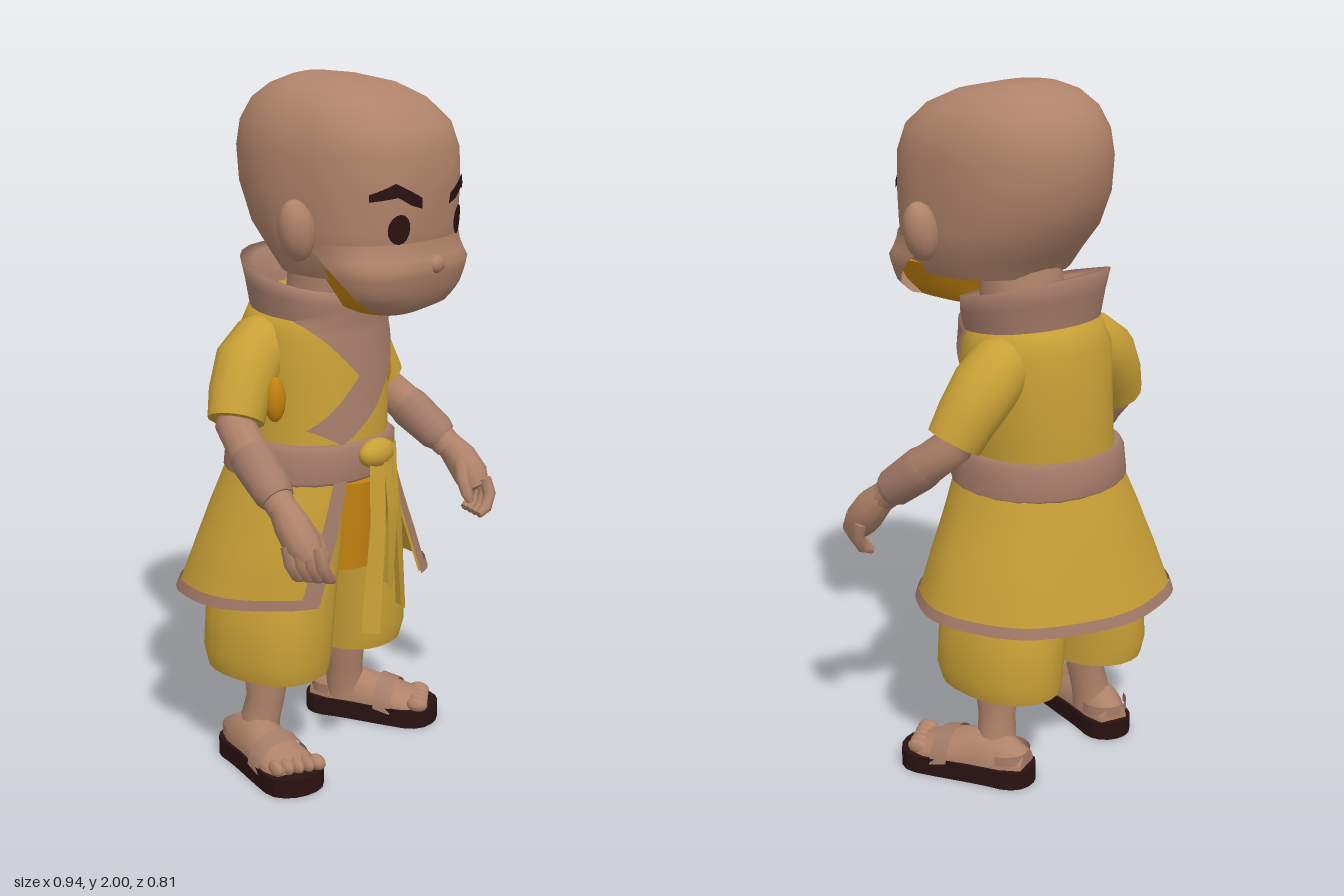
import * as THREE from 'three';

const V = (x, y, z) => new THREE.Vector3(x, y, z);
const lerp = THREE.MathUtils.lerp;
const mat = (name, color) => new THREE.MeshStandardMaterial({ name, color, side: THREE.DoubleSide });

// Surface through fn(u, v); closed joins u = 1 to u = 0, caps fan over both ends.
function grid(nu, nv, fn, closed = false, caps = false) {
  const pos = [], idx = [], cols = closed ? nu : nu + 1;
  for (let j = 0; j <= nv; j++)
    for (let i = 0; i < cols; i++) pos.push(...fn(i / nu, j / nv).toArray());
  for (let j = 0; j < nv; j++)
    for (let i = 0; i < nu; i++) {
      const a = j * cols + i, b = j * cols + (i + 1) % cols;
      idx.push(a, b, b + cols, a, b + cols, a + cols);
    }
  if (caps) for (const j of [0, nv]) {
    const start = pos.length / 3, mid = V(0, 0, 0);
    for (let i = 0; i < nu; i++) {
      const p = fn(i / nu, j / nv);
      mid.addScaledVector(p, 1 / nu);
      pos.push(...p.toArray());
    }
    pos.push(...mid.toArray());
    for (let i = 0; i < nu; i++) {
      const a = start + i, b = start + (i + 1) % nu, c = start + nu;
      if (j) idx.push(a, b, c); else idx.push(b, a, c);
    }
  }
  const g = new THREE.BufferGeometry();
  g.setAttribute('position', new THREE.Float32BufferAttribute(pos, 3));
  g.setIndex(idx);
  g.computeVertexNormals();
  return g;
}

// Rings: [y, centre x, back z, front z, half width, tilt]; listed from the bottom up.
const ringAt = (rings, k) => {
  const i = THREE.MathUtils.clamp(Math.floor(k), 0, rings.length - 2);
  return rings[i].map((a, n) => lerp(a, rings[i + 1][n], k - i));
};
const spow = (a, p) => Math.sign(a) * Math.abs(a) ** p;
function ringPoint([y, cx, zb, zf, rx, tilt = 0], t, pf, off = 0) {
  const s = Math.sin(t), c = Math.cos(t), p = 2 / (c > 0 ? pf : 2.1);
  return V(cx + (rx + off) * spow(s, p), y + tilt * c, (zb + zf) / 2 + ((zf - zb) / 2 + off) * spow(c, p));
}
function loft(rings, { n = 24, pf = 2.3, caps = true } = {}) {
  const m = rings.length - 1;
  return grid(n, m, (u, v) => ringPoint(ringAt(rings, v * m), u * Math.PI * 2, pf), true, caps);
}
// Front z of a loft at (x, y)
function frontZ(rings, x, y, pf, off) {
  let i = 0;
  while (i < rings.length - 2 && rings[i + 1][0] < y) i++;
  const k = THREE.MathUtils.clamp((y - rings[i][0]) / (rings[i + 1][0] - rings[i][0]), 0, 1);
  const [, cx, zb, zf, rx] = ringAt(rings, i + k);
  const q = Math.min(1, Math.abs((x - cx) / rx));
  return (zb + zf) / 2 + (zf - zb) / 2 * (1 - q ** pf) ** (1 / pf) + off;
}
// Ribbon between two polylines; z may be replaced by a surface rule.
function strip(a, b, zRule, nu = 12) {
  const at = (pts, u) => {
    const k = u * (pts.length - 1), i = Math.min(Math.floor(k), pts.length - 2);
    return V(...pts[i]).lerp(V(...pts[i + 1]), k - i);
  };
  return grid(nu, 5, (u, v) => {
    const p = at(a, u).lerp(at(b, u), v);
    if (zRule) p.z = zRule(p.x, p.y);
    return p;
  });
}
// Rounded limb through points [x, y, z, radius]
function limb(pts, n) {
  const m = pts.length - 1;
  return grid(n, m, (u, v) => {
    const i = Math.round(v * m), c = V(...pts[i].slice(0, 3));
    const d = V(...pts[Math.min(i + 1, m)]).sub(V(...pts[Math.max(i - 1, 0)])).normalize();
    const e = V(1, 0, 0.01).cross(d).normalize(), f = d.clone().cross(e), t = u * Math.PI * 2;
    return c.addScaledVector(e, Math.cos(t) * pts[i][3]).addScaledVector(f, Math.sin(t) * pts[i][3]);
  }, true, true);
}

const HEAD = [
  [1.47, -.02, -.09, .34, .22], [1.53, -.02, -.13, .365, .25], [1.6, -.02, -.19, .37, .262], [1.7, -.02, -.235, .378, .266],
  [1.8, -.02, -.245, .375, .265], [1.87, -.02, -.235, .35, .25], [1.93, -.02, -.2, .28, .215], [1.97, -.025, -.14, .19, .165],
  [1.993, -.03, -.08, .08, .09], [2, -.03, -.05, .0, .03]];
const JAW = [
  [1.36, -.02, .13, .29, .09], [1.385, -.02, .12, .325, .16], [1.43, -.02, .11, .345, .205], [1.5, -.02, .06, .375, .24], [1.57, -.02, -.1, .365, .255]];
const TORSO = [
  [.9, -.02, -.27, .15, .215], [1, -.01, -.275, .155, .215], [1.15, 0, -.27, .14, .22],
  [1.28, 0, -.26, .125, .22], [1.34, 0, -.24, .11, .19], [1.39, 0, -.19, .08, .12]];
const SKIRT = [
  [.52, -.01, -.39, .2, .365, .01], [.65, -.015, -.355, .19, .33, .005], [.78, -.02, -.32, .18, .285, 0], [.91, -.02, -.28, .165, .24, 0]];

export function createModel() {
  const model = new THREE.Group();
  const skin = mat('skin', 0xb0836a), trim = mat('taupe cloth', 0xa57c69), yellow = mat('yellow cloth', 0xc9a036);
  const amber = mat('amber lining', 0xc4830f), dark = mat('dark brown', 0x2a1212);
  const add = (name, g, m, parent = model) => {
    const mesh = new THREE.Mesh(g, m);
    mesh.name = name;
    parent.add(mesh);
    return mesh;
  };
  const ball = (name, m, p, s, parent) => {
    const o = add(name, new THREE.SphereGeometry(1, 14, 10), m, parent);
    o.position.set(...p);
    o.scale.set(...s);
    return o;
  };

  // Head, jaw and wrapped lower face
  add('head', loft(HEAD, { n: 32, pf: 2.6 }), skin);
  add('jawLining', loft(JAW.slice(0, 4), { pf: 2.6 }), amber);
  add('lowerFace', grid(24, 12, (u, v) => ringPoint(ringAt(JAW, v * 4), (u * 2 - 1) * lerp(.85, 1.6, Math.min(1, v * 1.35)), 2.5,
    .006 + .022 * Math.sin(Math.min(1, v * 1.12) * Math.PI))), skin);
  ball('nose', skin, [-.03, 1.505, .385], [.032, .024, .018]);
  add('neck', loft([[1.3, 0, -.13, .1, .12], [1.52, -.01, -.1, .12, .12]]), skin);
  const faceZ = (x, y) => frontZ(HEAD, x, y, 2.6, .007);
  for (const s of [-1, 1]) {
    const fx = d => -.03 + s * d;
    const ear = ball('ear', skin, [-.022 + s * .285, 1.605, .125], [.05, .085, .05]);
    ear.rotation.z = -s * .2;
    add('eye', grid(16, 3, (u, v) => {
      const x = fx(.13) + .031 * v * Math.sin(u * 6.2832), y = 1.61 + .04 * v * Math.cos(u * 6.2832);
      return V(x, y, faceZ(x, y));
    }), dark);
    add('eyebrow', strip(
      [[fx(.06), 1.66, 0], [fx(.1), 1.672, 0], [fx(.14), 1.695, 0], [fx(.2), 1.685, 0]],
      [[fx(.065), 1.69, 0], [fx(.1), 1.708, 0], [fx(.145), 1.732, 0], [fx(.2), 1.705, 0]], faceZ), dark);
  }

  // Tunic, collar and crossed lapels
  add('tunic', loft(TORSO), yellow);
  add('collar', loft([[1.335, 0, -.225, .125, .2, -.02], [1.4, 0, -.235, .13, .215, -.035], [1.45, 0, -.25, .125, .222, -.05],
    [1.44, 0, -.215, .1, .19, -.05], [1.39, 0, -.19, .1, .15, -.03]], { caps: false }), trim);
  const chestZ = off => (x, y) => frontZ(TORSO, x, Math.min(y, 1.29), 2.3, off);
  add('rightLapel', strip([[-.2, 1.33, 0], [-.11, 1.23, 0], [-.02, 1.13, 0]], [[0, 1.39, 0], [.05, 1.32, 0], [.06, 1.2, 0]], chestZ(.01)), trim);
  add('leftLapel', strip([[-.13, .98, 0], [0, 1.07, 0], [.1, 1.17, 0], [.205, 1.33, 0]],
    [[-.2, 1.025, 0], [-.08, 1.15, 0], [0, 1.22, 0], [.06, 1.38, 0]], chestZ(.018), 20), trim);

  // Belt, knot and hanging sash tails
  add('belt', loft([[.87, -.02, -.29, .17, .25], [.88, -.02, -.298, .178, .256], [.925, -.02, -.295, .175, .25],
    [.965, -.02, -.29, .175, .248], [.98, -.02, -.28, .16, .235]]), trim);
  ball('sashKnot', yellow, [-.03, .945, .19], [.07, .042, .038]);
  const tails = [
    [[-.075, .96, .2], [-.105, .75, .225], [-.18, .46, .25], [-.02, .96, .21], [-.045, .75, .235], [-.11, .44, .265]],
    [[-.035, .97, .215], [-.04, .78, .24], [-.05, .55, .25], [.03, .97, .215], [.015, .78, .235], [-.015, .55, .24]],
    [[-.005, .97, .22], [0, .75, .24], [.015, .47, .25], [.05, .96, .195], [.06, .75, .215], [.085, .45, .215]]];
  for (const t of tails) {
    add('sashTail', strip(t.slice(0, 3), t.slice(3)), yellow);
    add('sashFold', strip(t.slice(3), t.slice(3).map(([x, y, z]) => [x + .015, y, z - .045])), yellow);
  }

  // Open-fronted skirt, swung a little to its right, with a trimmed hem and edges
  const a0 = .4, a1 = Math.PI * 2 - .46, open = v => lerp(.1, -.1, v);
  const skirtPart = (u0, u1, v0, v1, off, n) => grid(n, 9, (u, v) => {
    const k = lerp(v0, v1, v), w = lerp(u0, u1, u);
    const p = ringPoint(ringAt(SKIRT, k * 3), lerp(a0 + open(k), a1 - open(k), w), 2.3, off + .004 * Math.sin(w * 40) * (1 - k));
    p.z += .14 * p.x * (1 - k);
    return p;
  });
  add('skirt', skirtPart(0, 1, 0, 1, 0, 48), yellow);
  add('skirtHem', skirtPart(0, 1, -.015, .065, .006, 48), trim);
  add('leftSkirtEdge', skirtPart(0, .028, 0, .95, .007, 3), trim);
  add('rightSkirtEdge', skirtPart(.968, 1, 0, .95, .007, 3), trim);
  add('skirtLining', loft([[.58, .02, -.2, .125, .11], [.84, .01, -.2, .135, .1]]), amber);

  for (const s of [-1, 1]) {
    // Trouser leg
    const px = d => -.012 + s * d;
    add('trouserLeg', loft([[.285, px(.178), -.275, .1, .14], [.34, px(.182), -.285, .112, .15], [.45, px(.172), -.285, .115, .15],
      [.56, px(.15), -.27, .11, .145], [.66, px(.11), -.25, .105, .12], [.88, px(.1), -.25, .11, .11]], { caps: false, pf: 2.5 }), yellow);
    add('trouserLining', loft([[.31, px(.18), -.27, .095, .138], [.34, px(.18), -.27, .095, .138]]), amber);

    // Lower leg and sandalled foot
    add('shin', limb([[px(.185), .4, -.08, .075], [px(.19), .27, -.08, .068], [px(.195), .19, -.08, .056],
      [px(.205), .13, -.09, .058], [px(.21), .07, -.09, .058]], 12), skin);
    const foot = new THREE.Group();
    foot.name = 'foot';
    foot.position.set(px(.255), 0, -.02);
    foot.rotation.y = s * .33;
    model.add(foot);
    // Shape y becomes -z once laid flat, so the toe end is at negative y.
    const outline = new THREE.Shape();
    outline.moveTo(-.092, -.13);
    outline.bezierCurveTo(-.095, -.235, .095, -.235, .092, -.13);
    outline.bezierCurveTo(.085, 0, .072, .06, .075, .14);
    outline.bezierCurveTo(.07, .235, -.07, .235, -.075, .14);
    outline.bezierCurveTo(-.072, .06, -.085, 0, -.092, -.13);
    const sole = add('sole', new THREE.ExtrudeGeometry(outline, { depth: .055, bevelEnabled: false, curveSegments: 8 }), dark, foot);
    sole.rotation.x = -Math.PI / 2;
    const arch = [[-.19, .045, .1], [-.13, .065, .14], [-.04, .07, .145], [.04, .08, .125], [.11, .085, .1], [.16, .07, .08]];
    add('footTop', grid(14, 5, (u, v) => {
      const [z, rx, top] = arch[Math.round(v * 5)], t = u * Math.PI * 2;
      return V(rx * Math.cos(t), .05 + (top - .05) * Math.max(-.1, Math.sin(t)), z);
    }, true, true), skin, foot);
    for (let i = 0; i < 5; i++)
      ball('toe', skin, [-s * (.06 - i * .03), .07, .165 - i * .007], [i ? .017 : .022, .023, .033], foot);
    add('footStrap', grid(12, 2, (u, v) => V(.09 * Math.cos(u * Math.PI), .05 + .084 * Math.sin(u * Math.PI) - .014 * v,
      lerp(.03, .085, v))), trim, foot);
    add('heelStrap', grid(12, 1, (u, v) => V(.072 * Math.cos(u * Math.PI), .07 + .03 * v, -.12 - .075 * Math.sin(u * Math.PI))), trim, foot);

    // Sleeve and underarm gusset
    const side = pts => pts.map(([x, y, z, r]) => [s * x, y, z, r]);
    add('sleeve', limb(side([[.12, 1.27, -.1, .07], [.18, 1.25, -.1, .09], [.245, 1.2, -.1, .096],
      [.3, 1.125, -.085, .088], [.335, 1.06, -.07, .08]]), 14), yellow);
    ball('underarmGusset', amber, [s * .25, 1.115, .0], [.032, .065, .03]);
    // Arm, wrist wrap and hand
    add('arm', limb(side([[.3, 1.15, -.09, .05], [.338, 1.05, -.07, .057], [.367, .98, .01, .058], [.39, .91, .1, .048], [.4, .86, .15, .042]]), 12), skin);
    add('wristWrap', limb(side([[.366, .985, .005, .058], [.372, .968, .025, .063], [.392, .9, .11, .057], [.398, .885, .13, .047]]), 12), trim);
    add('palm', limb(side([[.4, .875, .14, .038], [.41, .83, .185, .05], [.412, .78, .225, .052], [.408, .745, .25, .038]]), 10), skin);
    for (let i = 0; i < 4; i++) {
      const x = .445 - i * .012, z = .2 + i * .025;
      add('finger', limb(side([[x, .78, z, .02], [x + .004, .735, z + .015, .02], [x - .02, .695, z + .018, .018], [x - .05, .68, z + .012, .012]]), 7), skin);
    }
    add('thumb', limb(side([[.385, .83, .2, .024], [.36, .78, .23, .022], [.352, .74, .25, .018], [.358, .715, .258, .01]]), 7), skin);
  }
  return model;
}
